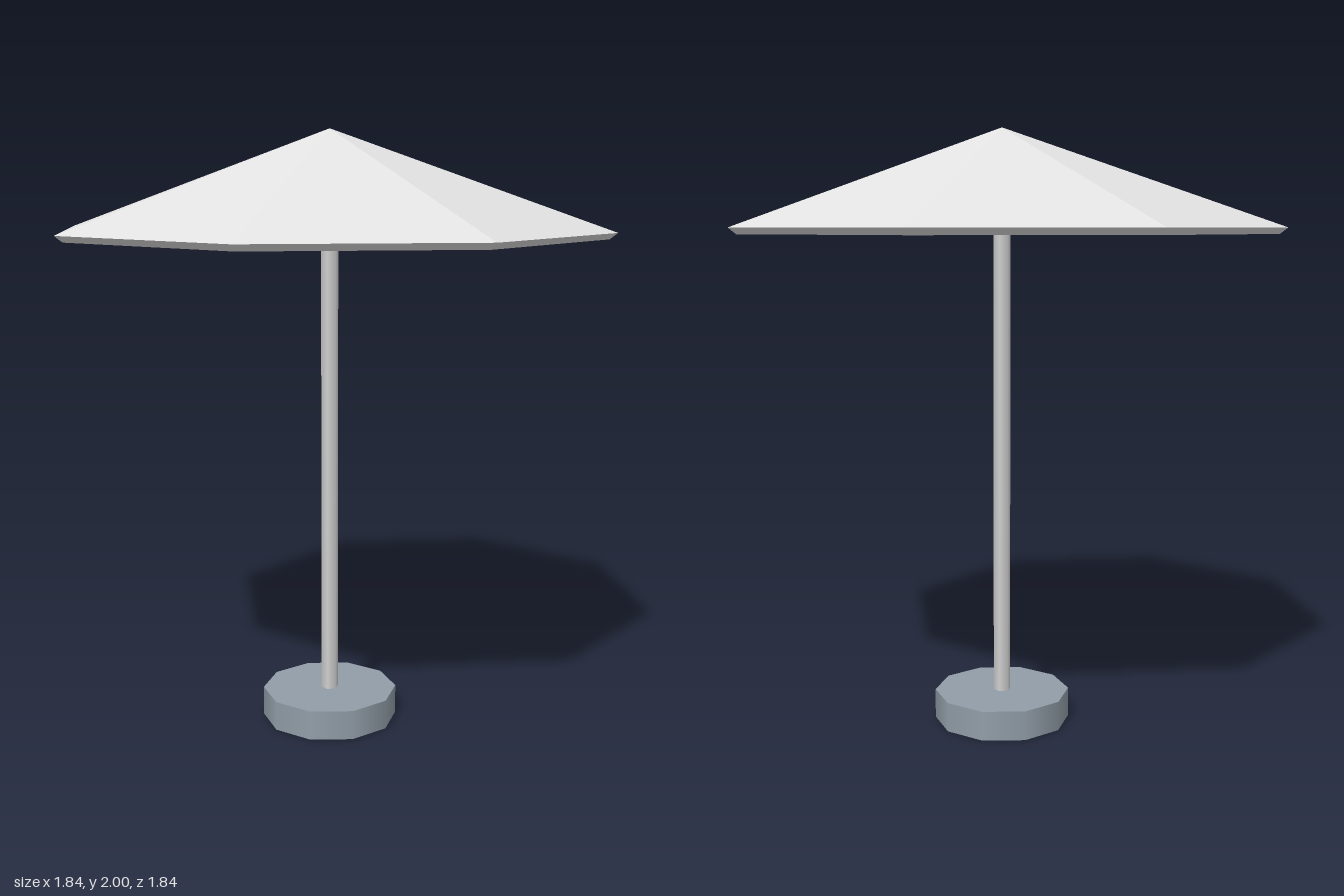
import * as THREE from 'three';

const canopyGrey = new THREE.MeshStandardMaterial({ name: 'canopy light grey', color: 0xe2e2e2 });
const poleGrey = new THREE.MeshStandardMaterial({ name: 'pole grey', color: 0xd0d0d0 });
const baseGrey = new THREE.MeshStandardMaterial({ name: 'base blue grey', color: 0x929ea8 });

function part(name, geometry, material) {
  const mesh = new THREE.Mesh(geometry, material);
  mesh.name = name;
  return mesh;
}

// Upright cylinder spanning two heights
function post(radius, bottom, top, sides) {
  return new THREE.CylinderGeometry(radius, radius, top - bottom, sides)
    .translate(0, (bottom + top) / 2, 0);
}

// Eight-panel shell: underside, bevelled rim, outer slope
function canopyShell() {
  const profile = [[0, 1.96], [0.895, 1.66], [0.92, 1.68], [0, 2]]
    .map(([r, y]) => new THREE.Vector2(r, y));
  const shell = new THREE.LatheGeometry(profile, 8).toNonIndexed();
  shell.computeVertexNormals(); // flat facets
  return shell;
}

export function createModel() {
  const model = new THREE.Group();
  model.name = 'parasol';
  model.add(
    part('base', post(0.23, 0, 0.1, 10), baseGrey),
    part('pole', post(0.029, 0.1, 1.965, 6), poleGrey),
    part('canopy', canopyShell(), canopyGrey),
  );
  return model;
}
